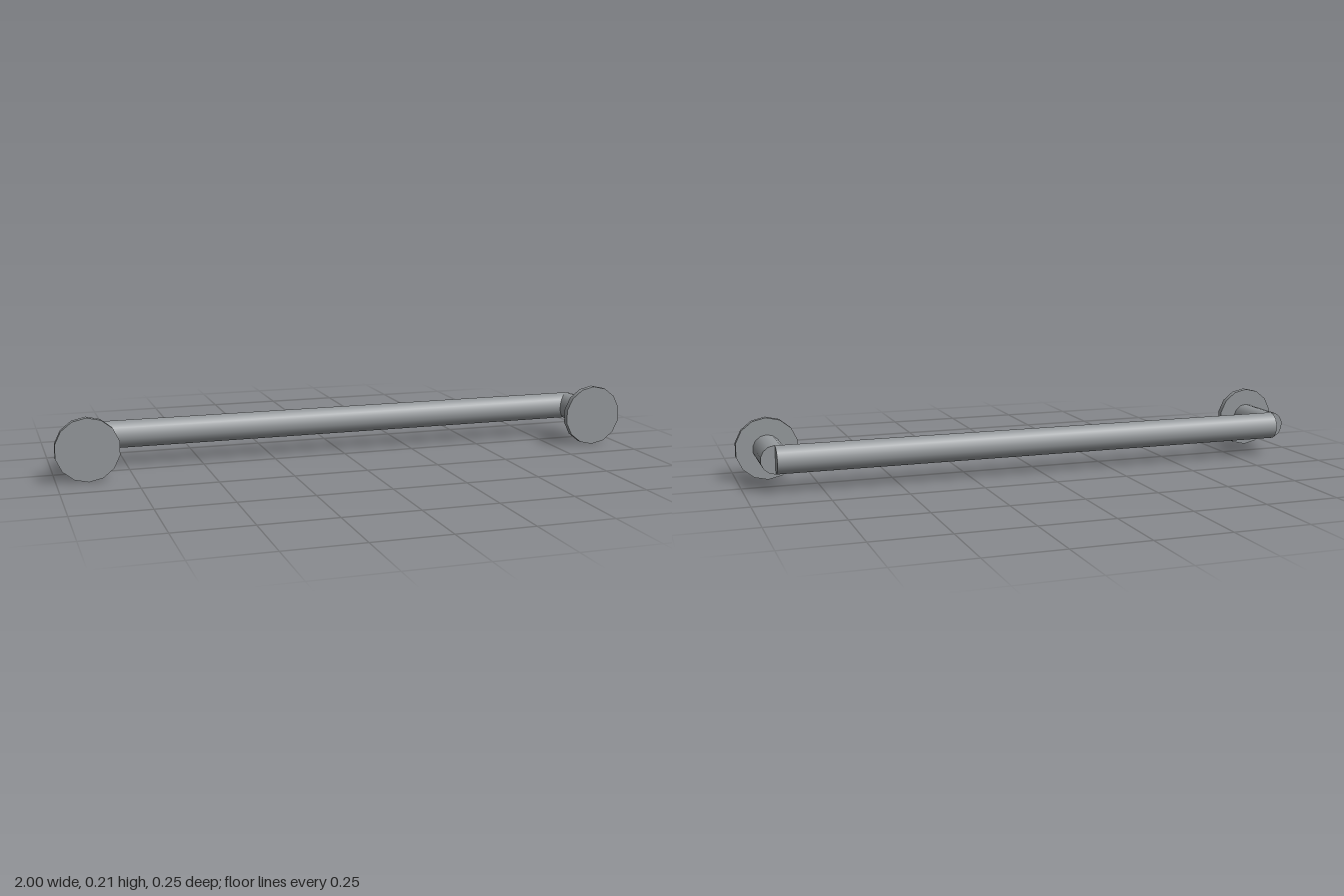
import * as THREE from 'three';

const SIDES = 14;
const HEIGHT = 0.105; // centre line above the ground
const POST_X = 0.8976;
const BAR_Z = -0.081;
const TUBE_R = 0.0475;
const FLANGE_BACK = 0.106;
const FLANGE_FRONT = 0.1275;

export function createModel() {
  const group = new THREE.Group();
  const material = new THREE.MeshStandardMaterial({ color: 0x95999c });

  // Cylinder along z, with a corner of the polygon at the top
  const rod = (radius, length) =>
    new THREE.CylinderGeometry(radius, radius, length, SIDES).rotateX(Math.PI / 2);

  const add = (name, geometry, x, z) => {
    const mesh = new THREE.Mesh(geometry, material);
    mesh.name = name;
    mesh.position.set(x, HEIGHT, z);
    group.add(mesh);
  };

  // Long grip bar
  add('gripBar', rod(TUBE_R, POST_X * 2).rotateY(Math.PI / 2), 0, BAR_Z);

  // Post and round mounting flange at each end
  for (const [side, x] of [['left', POST_X], ['right', -POST_X]]) {
    add(`${side}Post`, rod(TUBE_R, FLANGE_BACK - BAR_Z), x, (FLANGE_BACK + BAR_Z) / 2);
    add(`${side}Flange`, rod(0.105, FLANGE_FRONT - FLANGE_BACK), x, (FLANGE_FRONT + FLANGE_BACK) / 2);
  }
  return group;
}
